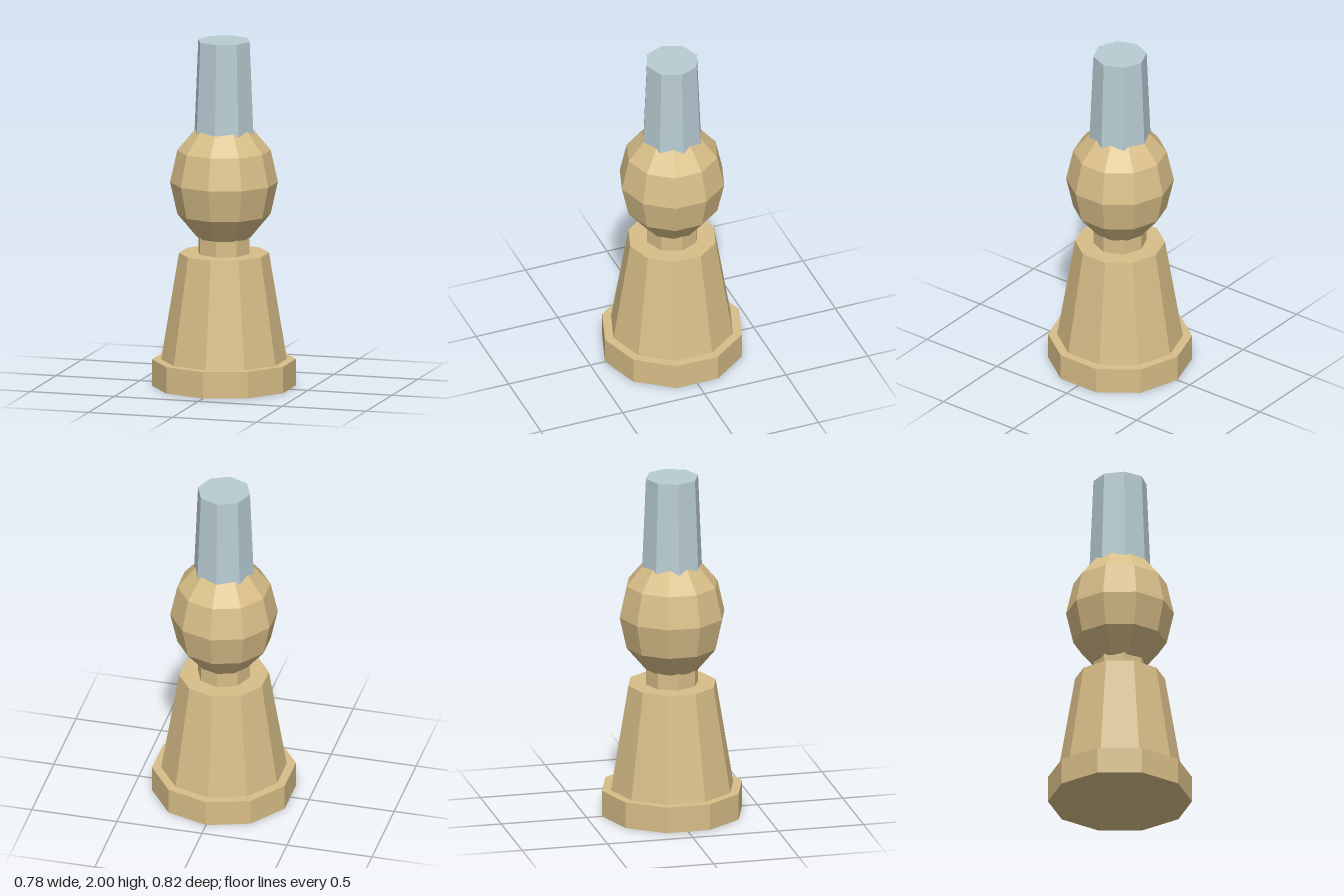
import * as THREE from 'three';

export function createModel() {
  const model = new THREE.Group();
  const tan = new THREE.MeshStandardMaterial({ color: 0xd8be88, flatShading: true });
  tan.name = 'tan';
  const paleSteel = new THREE.MeshStandardMaterial({ color: 0xb8ccd3, flatShading: true });
  paleSteel.name = 'paleSteel';

  const add = (name, geometry, material, y) => {
    const mesh = new THREE.Mesh(geometry, material);
    mesh.name = name;
    mesh.position.y = y;
    model.add(mesh);
    return mesh;
  };

  // Faceted frustum standing between two heights
  const frustum = (name, rBottom, rTop, y0, y1, sides, material) =>
    add(name, new THREE.CylinderGeometry(rTop, rBottom, y1 - y0, sides), material, (y0 + y1) / 2);

  frustum('base', 0.41, 0.41, 0, 0.153, 10, tan);
  frustum('taperedBody', 0.358, 0.256, 0.153, 0.77, 10, tan);
  frustum('neck', 0.153, 0.153, 0.77, 1.0, 8, tan);

  // Slightly tall bulb with corners facing front and back
  const bulb = new THREE.SphereGeometry(0.307, 10, 6);
  bulb.rotateY(Math.PI / 2);
  bulb.scale(1, 1.2, 1);
  add('bulb', bulb, tan, 1.18);

  frustum('tip', 0.178, 0.153, 1.4, 2, 8, paleSteel);

  return model;
}
